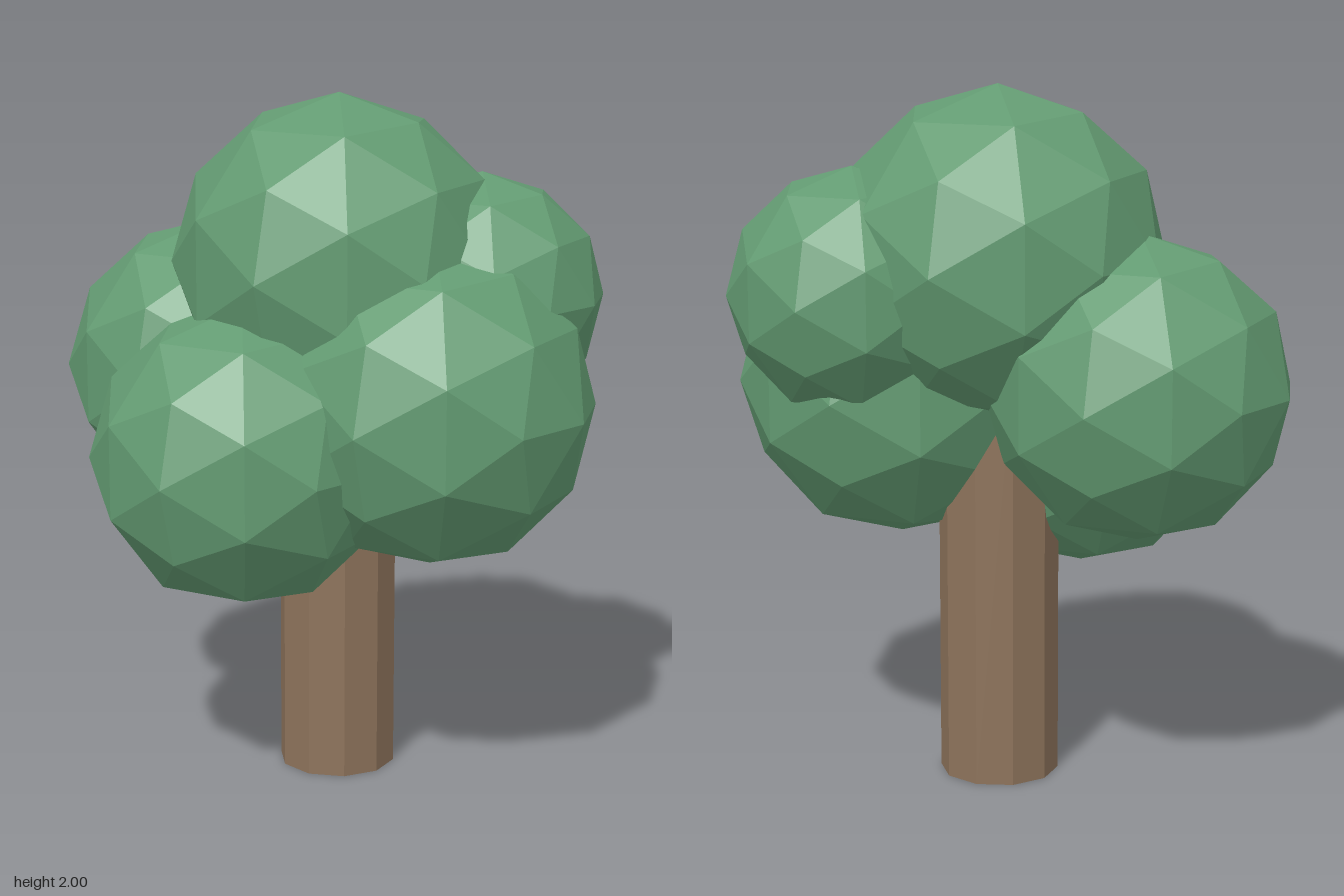
import * as THREE from 'three';

export function createModel() {
  const tree = new THREE.Group();
  tree.name = 'tree';

  const leafGreen = new THREE.MeshStandardMaterial({ color: 0x639b72, flatShading: true });
  leafGreen.name = 'leaf green';
  const barkBrown = new THREE.MeshStandardMaterial({ color: 0x8d735b, flatShading: true });
  barkBrown.name = 'bark brown';

  // Ten-sided trunk, its top buried in the crown
  const trunkHeight = 1.2;
  const trunk = new THREE.Mesh(new THREE.CylinderGeometry(0.172, 0.172, trunkHeight, 10), barkBrown);
  trunk.name = 'trunk';
  trunk.position.set(0.03, trunkHeight / 2, -0.105);
  tree.add(trunk);

  // Crown of overlapping faceted balls: name, radius, centre
  const crown = new THREE.Group();
  crown.name = 'crown';
  const clumps = [
    ['topFoliage', 0.48, 0.03, 1.52, -0.107],
    ['rightFoliage', 0.435, -0.395, 1.17, -0.11],
    ['frontFoliage', 0.435, -0.1, 0.995, 0.22],
    ['leftFoliage', 0.467, 0.36, 1.14, -0.055],
    ['backFoliage', 0.356, 0.39, 1.42, -0.3],
  ];
  for (const [name, radius, x, y, z] of clumps) {
    const clump = new THREE.Mesh(new THREE.IcosahedronGeometry(radius, 1), leafGreen);
    clump.name = name;
    clump.position.set(x, y, z);
    crown.add(clump);
  }
  tree.add(crown);

  return tree;
}
